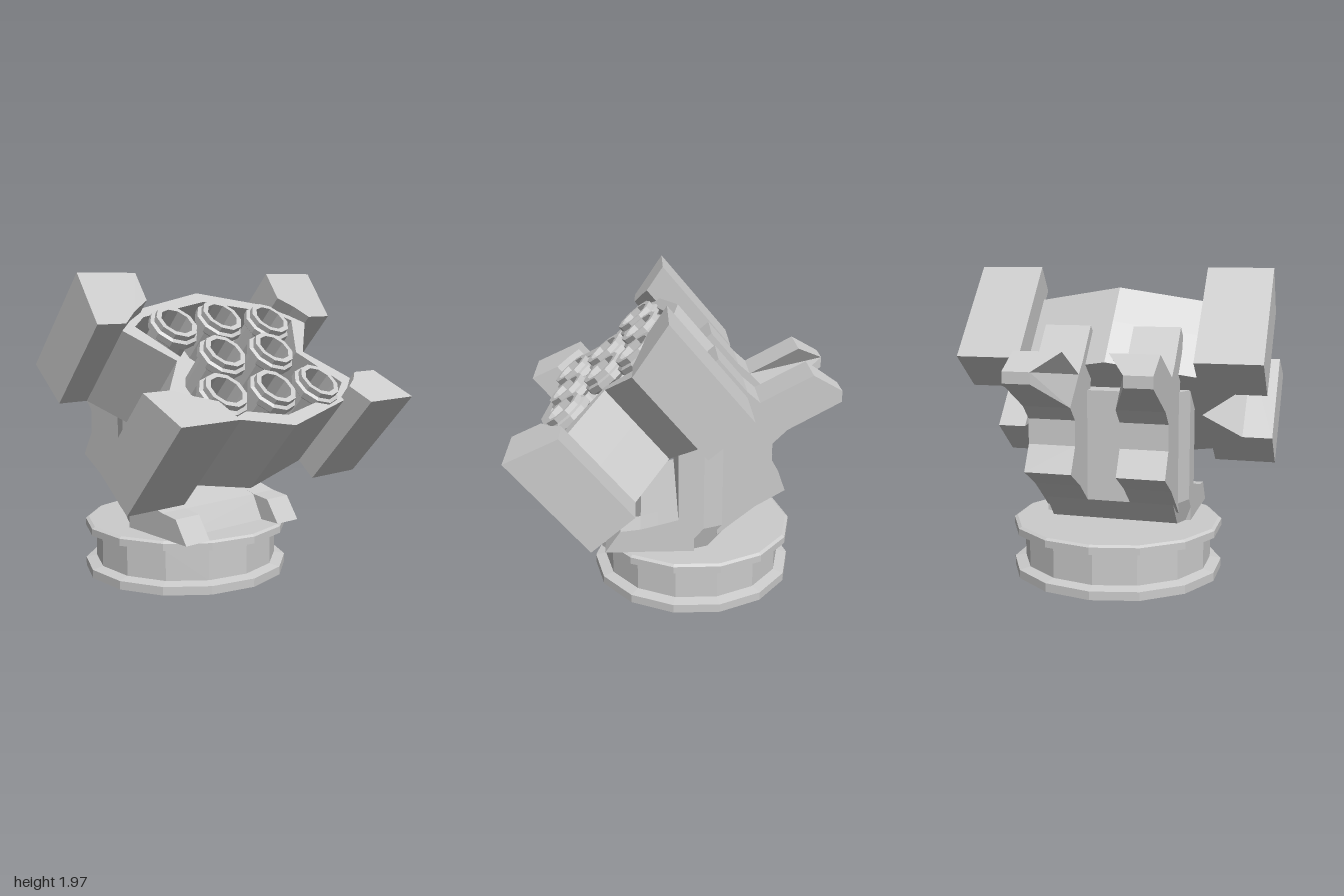
import * as THREE from 'three';

const material = new THREE.MeshStandardMaterial({ color: 0xcccccc, flatShading: true, side: THREE.DoubleSide });

function add(parent, name, geometry) {
  const mesh = new THREE.Mesh(geometry, material);
  mesh.name = name;
  parent.add(mesh);
  return mesh;
}

const points = (list) => list.map(([x, y]) => new THREE.Vector2(x, y));

function extrude(outline, depth, hole, steps = 1) {
  const shape = new THREE.Shape(points(outline));
  if (hole) shape.holes.push(new THREE.Path(points(hole)));
  return new THREE.ExtrudeGeometry(shape, { depth, steps, bevelEnabled: false });
}

// Side profile of [z, y] points, extruded from x0 to x1
function sideSlab(profile, x0, x1) {
  return extrude(profile, x1 - x0).rotateY(-Math.PI / 2).translate(x1, 0, 0);
}

// Move every vertex by a rule
function reshape(geometry, rule) {
  const pos = geometry.attributes.position;
  const v = new THREE.Vector3();
  for (let i = 0; i < pos.count; i++) {
    rule(v.fromBufferAttribute(pos, i));
    pos.setXYZ(i, v.x, v.y, v.z);
  }
  geometry.computeVertexNormals();
  return geometry;
}

// Right half of an outline, mirrored to a closed loop
function mirrored(half) {
  const left = half.filter(([x]) => x > 0).reverse().map(([x, y]) => [-x, y]);
  return [...half, ...left];
}

function createStand() {
  const stand = new THREE.Group();
  stand.name = 'stand';
  stand.position.x = -0.01;

  // Spool-shaped turntable
  const spool = new THREE.LatheGeometry(points([
    [0, 0], [0.69, 0], [0.69, 0.055], [0.617, 0.07], [0.617, 0.265],
    [0.69, 0.285], [0.69, 0.33], [0.67, 0.342], [0, 0.342],
  ]), 14);
  spool.rotateY(Math.PI / 14 + Math.PI / 14).scale(1, 1, 0.97).translate(0, 0, -0.11);
  add(stand, 'turntable', spool);

  // Column with narrowed back, its lower end leaning forward
  const section = [[-0.49, 0], [0.49, 0], [0.49, 0.16], [0.42, 0.33], [-0.42, 0.33], [-0.49, 0.16]];
  const column = extrude(section, 2, null, 2).rotateX(-Math.PI / 2);
  reshape(column, (v) => {
    const level = Math.round(v.y);
    v.y = [0.34, 0.5, 1.21][level];
    if (level === 0) v.z += 0.14;
  });
  add(stand, 'column', column);

  // Foot ramp and toes
  add(stand, 'footRamp', sideSlab([[-0.1, 0.34], [0.32, 0.34], [0.24, 0.5], [0, 0.565], [-0.1, 0.565]], -0.49, 0.49));
  const toe = [[0.05, 0.34], [0.47, 0.34], [0.37, 0.487], [0.24, 0.502], [0.05, 0.55]];
  add(stand, 'leftToe', sideSlab(toe, 0.3, 0.49));
  add(stand, 'rightToe', sideSlab(toe, -0.49, -0.3));

  // Rear brackets with swept arms and a lip over the pod
  const bracket = [
    [-0.25, 0.43], [-0.33, 0.5], [-0.49, 0.63], [-0.675, 0.74], [-0.585, 0.9], [-0.585, 1.06],
    [-0.675, 1.15], [-1, 1.33], [-1, 1.4], [-0.82, 1.5], [-0.5, 1.33], [-0.42, 1.4],
    [-0.24, 1.61], [-0.17, 1.55], [-0.25, 1.25],
  ];
  for (const side of [1, -1]) {
    const slab = sideSlab(bracket, side > 0 ? 0.14 : -0.44, side > 0 ? 0.44 : -0.14);
    reshape(slab, (v) => {
      if (v.z < -0.95 && Math.abs(v.x) < 0.2) v.x = side * 0.27;
    });
    add(stand, side > 0 ? 'leftBracket' : 'rightBracket', slab);
  }
  return stand;
}

function createPod() {
  // Local y runs up the front face, local z is the firing direction
  const pod = new THREE.Group();
  pod.name = 'launcherPod';
  pod.position.set(0, 1.18, 1);
  pod.rotation.x = -0.867;

  // Shell with V-notched sides, open at the front
  const outline = mirrored([
    [0, 0.02], [0.56, 0.16], [0.7, 0.22], [0.78, 0.34], [0.54, 0.61],
    [0.78, 0.88], [0.7, 1.0], [0.56, 1.06], [0, 1.2],
  ]);
  const opening = mirrored([
    [0, 0.105], [0.56, 0.23], [0.67, 0.31], [0.475, 0.61], [0.67, 0.91], [0.56, 0.99], [0, 1.115],
  ]);
  add(pod, 'podBack', extrude(outline, 0.315).translate(0, 0, -0.735));
  add(pod, 'podRim', extrude(outline, 0.27, opening).translate(0, 0, -0.42));

  // Four corner blocks with slanted front ends
  const block = [[0.98, 0], [0.56, 0], [0.56, 0.19], [0.68, 0.26], [0.78, 0.34], [0.98, 0.34]];
  for (const side of [1, -1]) {
    for (const top of [false, true]) {
      const corner = block.map(([x, y]) => [side * x, top ? 1.22 - y : y]);
      const geometry = extrude(corner, 0.735).translate(0, 0, -0.735);
      reshape(geometry, (v) => {
        if (v.z > -0.1) v.z -= 0.275 * (top ? 1.22 - v.y : v.y);
      });
      add(pod, (top ? 'upper' : 'lower') + (side > 0 ? 'Left' : 'Right') + 'Block', geometry);
    }
  }

  // Launch tubes with flared collars
  const tube = new THREE.LatheGeometry(points([
    [0.125, -0.43], [0.125, -0.2], [0.16, -0.175], [0.16, -0.135], [0.138, -0.125],
    [0.138, -0.09], [0.105, -0.09], [0.105, -0.38], [0, -0.38],
  ]), 10).rotateX(Math.PI / 2);
  const places = [
    [-0.4, 0.3], [0, 0.29], [0.4, 0.3], [-0.19, 0.61], [0.23, 0.61],
    [-0.4, 0.88], [0, 0.92], [0.4, 0.88],
  ];
  for (const [x, y] of places) add(pod, 'launchTube', tube).position.set(x, y, 0);
  return pod;
}

export function createModel() {
  const model = new THREE.Group();
  model.name = 'launcherTurret';
  model.add(createStand(), createPod());
  return model;
}
